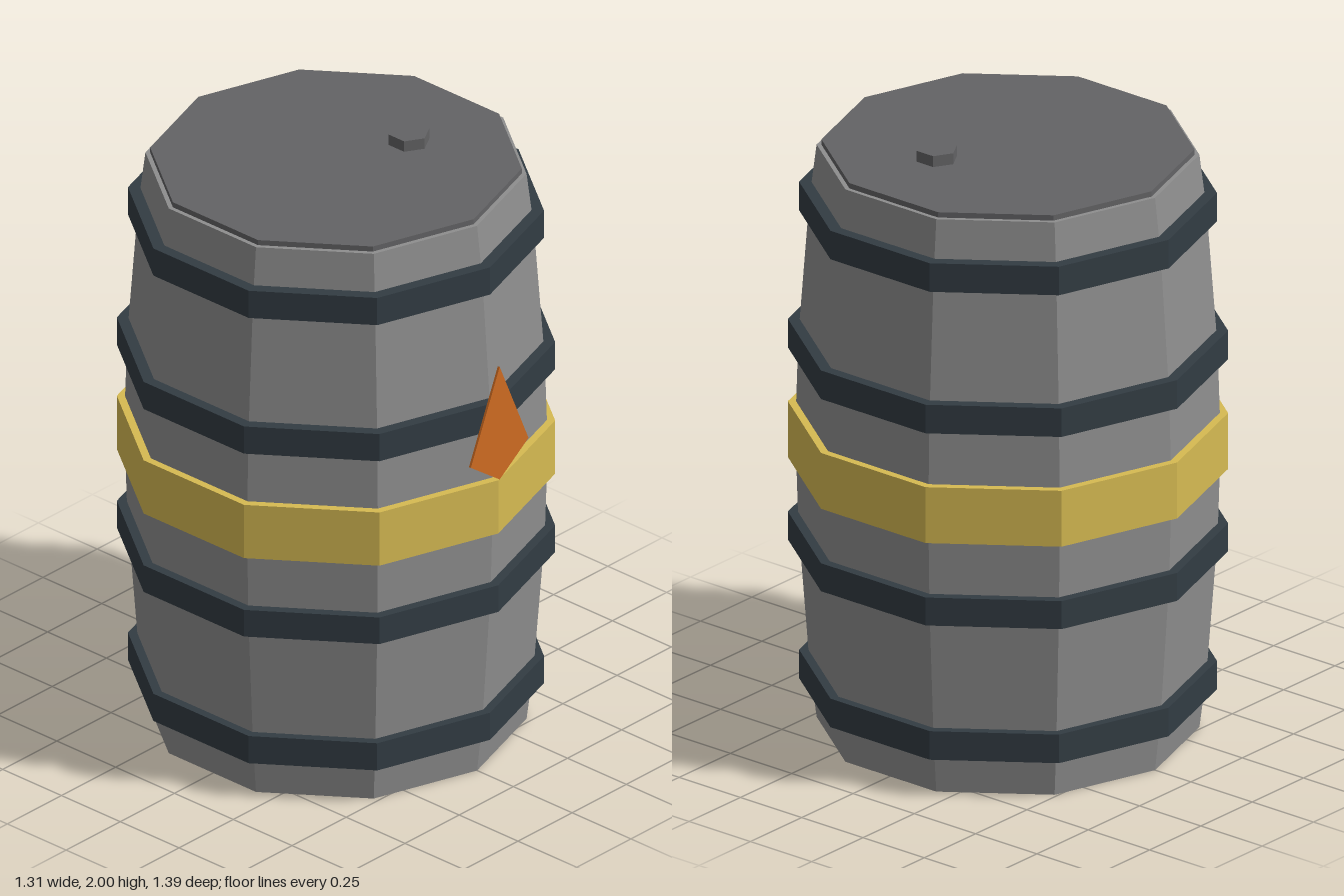
import * as THREE from 'three';

const SIDES = 10;

function material(name, color) {
  const m = new THREE.MeshStandardMaterial({ color, flatShading: true });
  m.name = name;
  return m;
}

// faceted solid of revolution from [radius, height] pairs
function turned(profile) {
  return new THREE.LatheGeometry(profile.map(([r, y]) => new THREE.Vector2(r, y)), SIDES);
}

export function createModel() {
  const group = new THREE.Group();
  group.name = 'barrel';
  const grey = material('barrelGrey', 0x8e8e8e);
  const lidGrey = material('lidGrey', 0x636365);
  const steel = material('hoopSteel', 0x323c43);
  const yellow = material('bandYellow', 0xd6ba52);
  const orange = material('signOrange', 0xd06c22);

  const add = (name, geometry, mat, x = 0, y = 0, z = 0) => {
    const mesh = new THREE.Mesh(geometry, mat);
    mesh.name = name;
    mesh.position.set(x, y, z);
    group.add(mesh);
    return mesh;
  };
  const zMid = -0.004;

  // bulging body with closed ends
  add('body', turned([
    [0, 0], [0.6, 0], [0.622, 0.18], [0.657, 0.65], [0.667, 0.973],
    [0.657, 1.296], [0.622, 1.766], [0.6, 1.945], [0, 1.945],
  ]), grey, 0, 0, zMid);

  // lid and off-centre filler cap
  add('lid', new THREE.CylinderGeometry(0.585, 0.585, 0.022, SIDES), lidGrey, 0, 1.952, zMid);
  add('fillerCap', new THREE.CylinderGeometry(0.067, 0.067, 0.04, 6), lidGrey, 0.232, 1.98, 0.092);

  // hoops and central band: [name, bottom, top, inner radius, outer radius, material]
  const hoops = [
    ['lowerHoop', 0.13, 0.227, 0.6, 0.655, steel],
    ['lowerMiddleHoop', 0.6, 0.695, 0.64, 0.69, steel],
    ['centreBand', 0.88, 1.07, 0.65, 0.69, yellow],
    ['upperMiddleHoop', 1.253, 1.35, 0.64, 0.69, steel],
    ['upperHoop', 1.72, 1.817, 0.6, 0.655, steel],
  ];
  for (const [name, y0, y1, r0, r1, mat] of hoops) {
    add(name, turned([[r0, y0], [r1, y0], [r1, y1], [r0, y1], [r0, y0]]), mat, 0, 0, zMid);
  }

  // thin kite-shaped warning sign on the front
  const kite = new THREE.Shape([
    new THREE.Vector2(0, 1.075), new THREE.Vector2(0.133, 1.17),
    new THREE.Vector2(0, 1.477), new THREE.Vector2(-0.133, 1.17),
  ]);
  add('warningSign', new THREE.ExtrudeGeometry(kite, { depth: 0.008, bevelEnabled: false }),
    orange, 0, 0, 0.684);

  return group;
}
